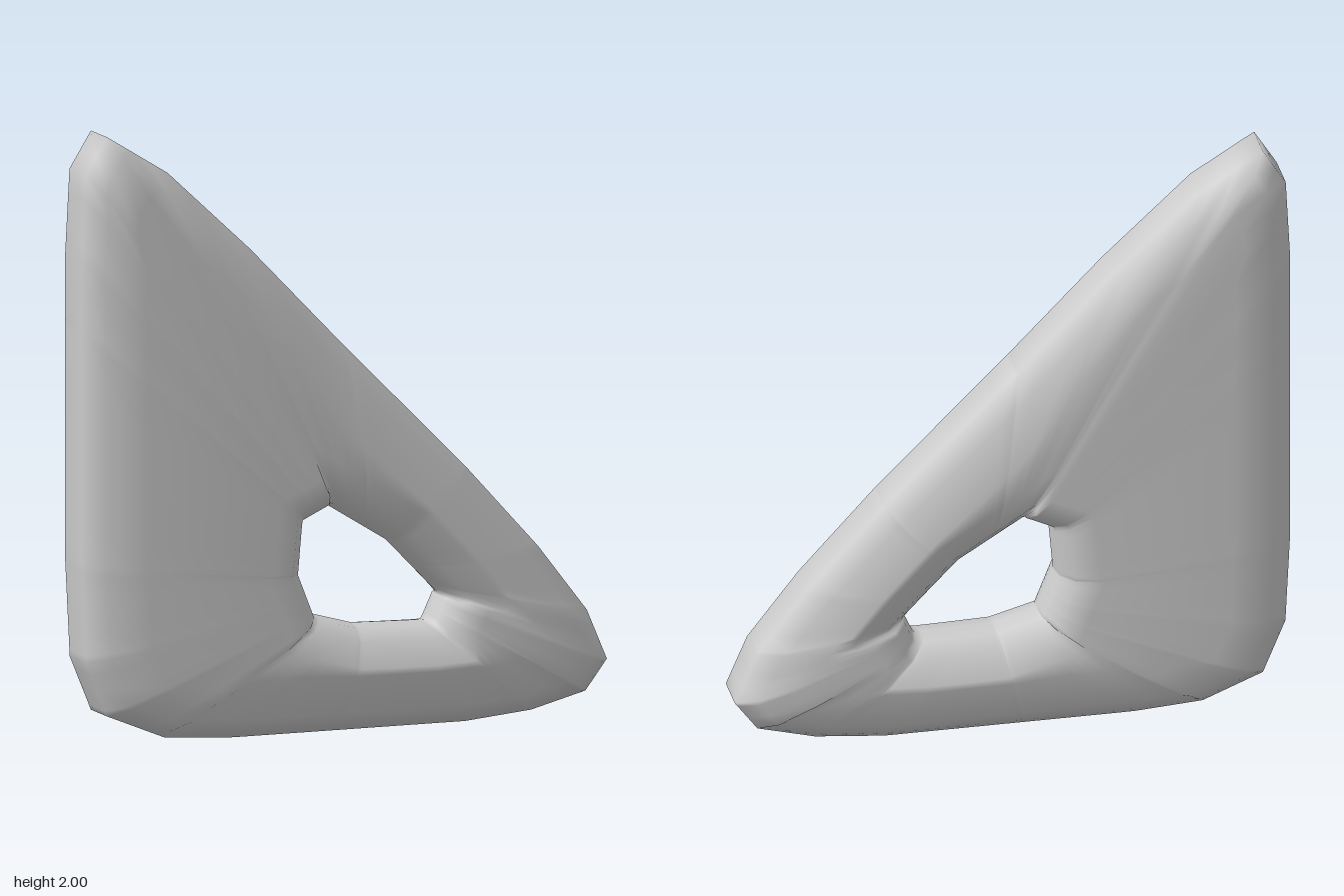
import * as THREE from 'three';

const V = (x, y) => new THREE.Vector2(x, y);
const toPoints = (list) => list.map(([x, y]) => V(x, y));

// Outlines in the plane of the slab, counter-clockwise
const outer = toPoints([
  [-0.92, 0.6], [-0.904, 0.28], [-0.83, 0.1], [-0.63, 0.018], [-0.4, 0.003], [0.42, 0.003],
  [0.65, 0.025], [0.84, 0.075], [0.915, 0.175], [0.845, 0.34], [0.675, 0.56], [0.42, 0.84],
  [-0.02, 1.28], [-0.33, 1.6], [-0.62, 1.87], [-0.83, 2.0], [-0.905, 1.88], [-0.92, 1.6],
]);
const hole = toPoints([
  [-0.15, 0.52], [-0.095, 0.38], [0.05, 0.34], [0.31, 0.333], [0.35, 0.42],
  [0.17, 0.605], [-0.04, 0.735], [-0.135, 0.69],
]);
const centre = V(0.09, 0.5);

// Point where a ray from the centre meets an outline
function castRay(outline, angle) {
  const dir = V(Math.cos(angle), Math.sin(angle));
  let best = 0;
  outline.forEach((p, i) => {
    const edge = outline[(i + 1) % outline.length].clone().sub(p);
    const toP = p.clone().sub(centre);
    const det = dir.cross(edge);
    if (Math.abs(det) < 1e-9) return;
    const t = toP.cross(edge) / det;
    const s = toP.cross(dir) / det;
    if (s >= -1e-6 && s <= 1 + 1e-6 && t > best) best = t;
  });
  return dir.multiplyScalar(best).add(centre);
}

// Evenly spaced directions plus one through every outline corner
function rayAngles() {
  const angles = [...outer, ...hole].map((p) => Math.atan2(p.y - centre.y, p.x - centre.x));
  for (let i = 0; i < 96; i++) angles.push(-Math.PI + (i / 96) * Math.PI * 2);
  angles.sort((a, b) => a - b);
  return angles.filter((a, i) => i === 0 || a - angles[i - 1] > 0.008);
}

// Step along each ray that moves one unit away from the outline's edge
function edgeSteps(points) {
  const n = points.length;
  return points.map((p, i) => {
    const tangent = points[(i + 1) % n].clone().sub(points[(i + n - 1) % n]).normalize();
    const ray = p.clone().sub(centre).normalize();
    return 1 / Math.max(Math.abs(tangent.cross(ray)), 0.5);
  });
}

function slabGeometry() {
  const angles = rayAngles();
  const n = angles.length;
  const rim = angles.map((a) => castRay(outer, a));
  const throat = angles.map((a) => castRay(hole, a));
  const rimStep = edgeSteps(rim);
  const throatStep = edgeSteps(throat);

  // Rounded section: [from the hole?, inset, half thickness]
  const half = [
    [false, 0, 0.07], [false, 0.065, 0.125], [false, 0.2, 0.152],
    [true, 0.13, 0.15], [true, 0.05, 0.115], [true, 0.01, 0.06],
  ];
  const section = [
    ...half,
    [true, 0, 0],
    ...half.map(([h, inset, z]) => [h, inset, -z]).reverse(),
  ];

  const positions = [];
  const index = [];
  section.forEach(([fromHole, inset, z], i) => {
    for (let j = 0; j < n; j++) {
      const length = rim[j].distanceTo(throat[j]);
      const t = fromHole
        ? 1 - Math.min((inset * throatStep[j]) / length, inset * 3)
        : Math.min((inset * rimStep[j]) / length, inset * 2.75);
      const p = rim[j].clone().lerp(throat[j], t);
      positions.push(p.x, p.y, z);
      const k = (j + 1) % n;
      const next = (i + 1) % section.length;
      const a = i * n + j, b = i * n + k, c = next * n + k, d = next * n + j;
      index.push(a, b, c, a, c, d);
    }
  });

  const geometry = new THREE.BufferGeometry();
  geometry.setAttribute('position', new THREE.Float32BufferAttribute(positions, 3));
  geometry.setIndex(index);
  geometry.computeVertexNormals();
  return geometry;
}

export function createModel() {
  const group = new THREE.Group();
  group.name = 'piercedTriangle';
  // Rounded triangular slab with a hole, turned about the upright axis
  const slab = new THREE.Mesh(slabGeometry(), new THREE.MeshStandardMaterial({ color: 0xcccccc }));
  slab.name = 'triangularSlab';
  slab.rotation.y = -0.363;
  group.add(slab);
  return group;
}
